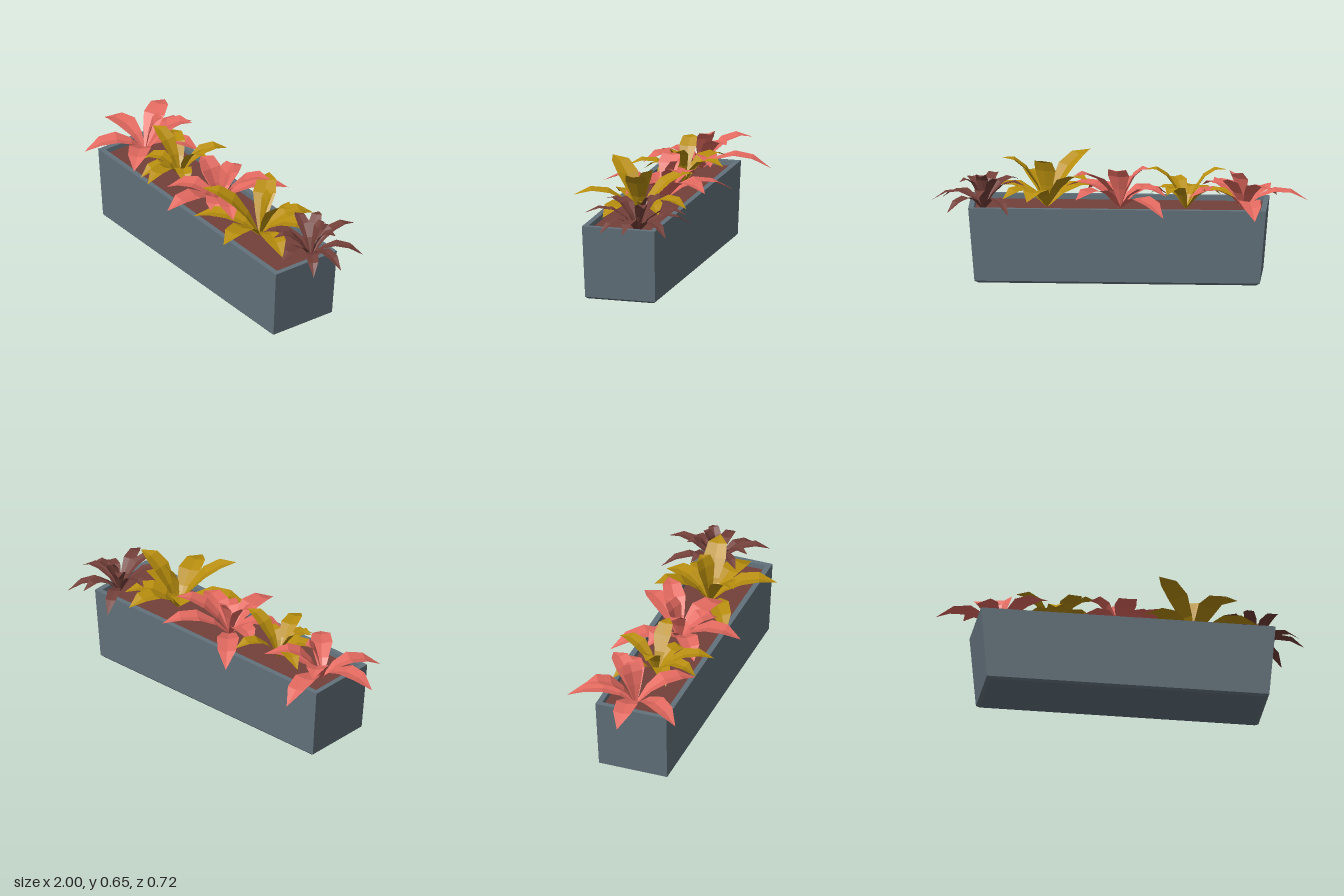
import * as THREE from 'three';

const mat = (name, color) => new THREE.MeshStandardMaterial({ name, color, side: THREE.DoubleSide, flatShading: true });

// Surface through rows of points; closed rows wrap round.
function skin(rows, closed) {
  const n = rows[0].length, pos = [], idx = [];
  rows.forEach(r => r.forEach(p => pos.push(p.x, p.y, p.z)));
  for (let i = 0; i < rows.length - 1; i++) {
    for (let j = 0; j < (closed ? n : n - 1); j++) {
      const k = (j + 1) % n, a = i * n + j, b = i * n + k, c = a + n, d = b + n;
      idx.push(a, b, d, a, d, c);
    }
  }
  const g = new THREE.BufferGeometry();
  g.setAttribute('position', new THREE.Float32BufferAttribute(pos, 3));
  g.setIndex(idx);
  const flat = g.toNonIndexed();
  flat.computeVertexNormals();
  return flat;
}

// Pointed, arching, slightly folded leaf; low tips arch more than raised ones.
function leafGeometry(base, tip, width) {
  const side = new THREE.Vector3(tip.z - base.z, 0, base.x - tip.x).normalize();
  const mid = base.clone().lerp(tip, 0.45);
  mid.y = tip.y + THREE.MathUtils.clamp(0.12 - 0.55 * (tip.y - 0.43), 0, 0.14);
  const curve = new THREE.QuadraticBezierCurve3(base, mid, tip);
  const rows = [];
  for (let i = 0; i <= 4; i++) {
    const t = i / 4;
    const half = width * (0.1 + 0.9 * Math.sin(Math.PI * t ** 1.2)) * (i < 4 ? 0.5 : 0);
    const p = curve.getPoint(t);
    const up = curve.getTangent(t).cross(side).normalize();
    if (up.y < 0) up.negate();
    rows.push([-1, 0, 1].map(s => p.clone()
      .addScaledVector(side, s * half)
      .addScaledVector(up, Math.abs(s) * half * 0.2)));
  }
  return skin(rows, false);
}

// Rosette of leaves; without a given height, longer leaves hang lower.
function makePlant(name, material, x, z, width, tips) {
  const plant = new THREE.Group();
  plant.name = name;
  const base = new THREE.Vector3(x, 0.375, z);
  for (const [tx, tz, ty = 0.66 - 0.6 * Math.hypot(tx - x, tz - z)] of tips) {
    const leaf = new THREE.Mesh(leafGeometry(base, new THREE.Vector3(tx, ty, tz), width), material);
    leaf.name = 'leaf';
    plant.add(leaf);
  }
  return plant;
}

export function createModel() {
  const model = new THREE.Group();
  const slate = mat('slate planter', 0x62717b);
  const brown = mat('dark brown', 0x733f39);
  const coral = mat('coral leaf', 0xe2695f);
  const ochre = mat('ochre leaf', 0xb88e0e);
  const cx = 0.008, cz = 0.018;

  // Tapered trough with chamfered foot, flat rim and inner walls
  const ring = (hx, hz, y) => [0, 1, 2, 3].map(i => new THREE.Vector3(
    cx + (i === 1 || i === 2 ? hx : -hx), y, cz + (i < 2 ? hz : -hz)));
  const planter = new THREE.Mesh(skin([
    ring(0, 0, 0), ring(0.74, 0.183, 0), ring(0.76, 0.194, 0.012),
    ring(0.793, 0.202, 0.407), ring(0.764, 0.173, 0.407), ring(0.762, 0.171, 0.37),
  ], true), slate);
  planter.name = 'planter';
  model.add(planter);

  const soil = new THREE.Mesh(new THREE.BoxGeometry(1.526, 0.02, 0.344), brown);
  soil.name = 'soil';
  soil.position.set(cx, 0.37, cz);
  model.add(soil);

  // Five plants, each with its leaf tips as x, z and an optional height
  model.add(
    makePlant('leftCoralPlant', coral, -0.66, 0, 0.12, [
      [-0.735, -0.365, 0.39], [-1, 0.02, 0.425], [-0.82, 0.285, 0.395], [-0.425, 0.25],
      [-0.37, -0.14], [-0.81, -0.24, 0.535], [-0.5, -0.19, 0.56], [-0.6, -0.07, 0.585]]),
    makePlant('leftOchrePlant', ochre, -0.35, 0, 0.095, [
      [-0.26, -0.245], [-0.135, -0.01, 0.595], [-0.25, 0.29], [-0.385, 0.235, 0.43],
      [-0.565, 0.02, 0.59], [-0.62, -0.15], [-0.16, 0.1, 0.44], [-0.53, 0.12, 0.43]]),
    makePlant('middleCoralPlant', coral, 0, 0, 0.12, [
      [-0.245, -0.305, 0.39], [0.225, -0.29, 0.48], [0, 0.345], [-0.24, 0.17, 0.42],
      [0.3, 0.13], [-0.165, 0, 0.59], [0.24, -0.16, 0.585], [0.02, -0.09, 0.595],
      [-0.25, -0.09, 0.46], [0.18, 0.17, 0.44]]),
    makePlant('rightOchrePlant', ochre, 0.39, 0.02, 0.125, [
      [0.485, -0.265, 0.46], [0.165, -0.21, 0.575], [0.515, 0.355, 0.5], [0.735, 0.125],
      [0.63, -0.01, 0.65], [0.17, 0.24, 0.645], [0.08, 0.23, 0.42], [0.62, -0.15, 0.45],
      [0.42, -0.05, 0.64]]),
    makePlant('brownPlant', brown, 0.725, -0.07, 0.068, [
      [0.58, -0.33, 0.4], [0.74, -0.345], [0.91, -0.28, 0.4], [1, -0.065, 0.425],
      [0.95, 0.08, 0.41], [0.82, 0.2], [0.66, 0.13], [0.54, 0.11],
      [0.5, -0.13], [0.74, -0.15, 0.57], [0.85, -0.14, 0.54], [0.62, -0.2]]),
  );
  return model;
}
